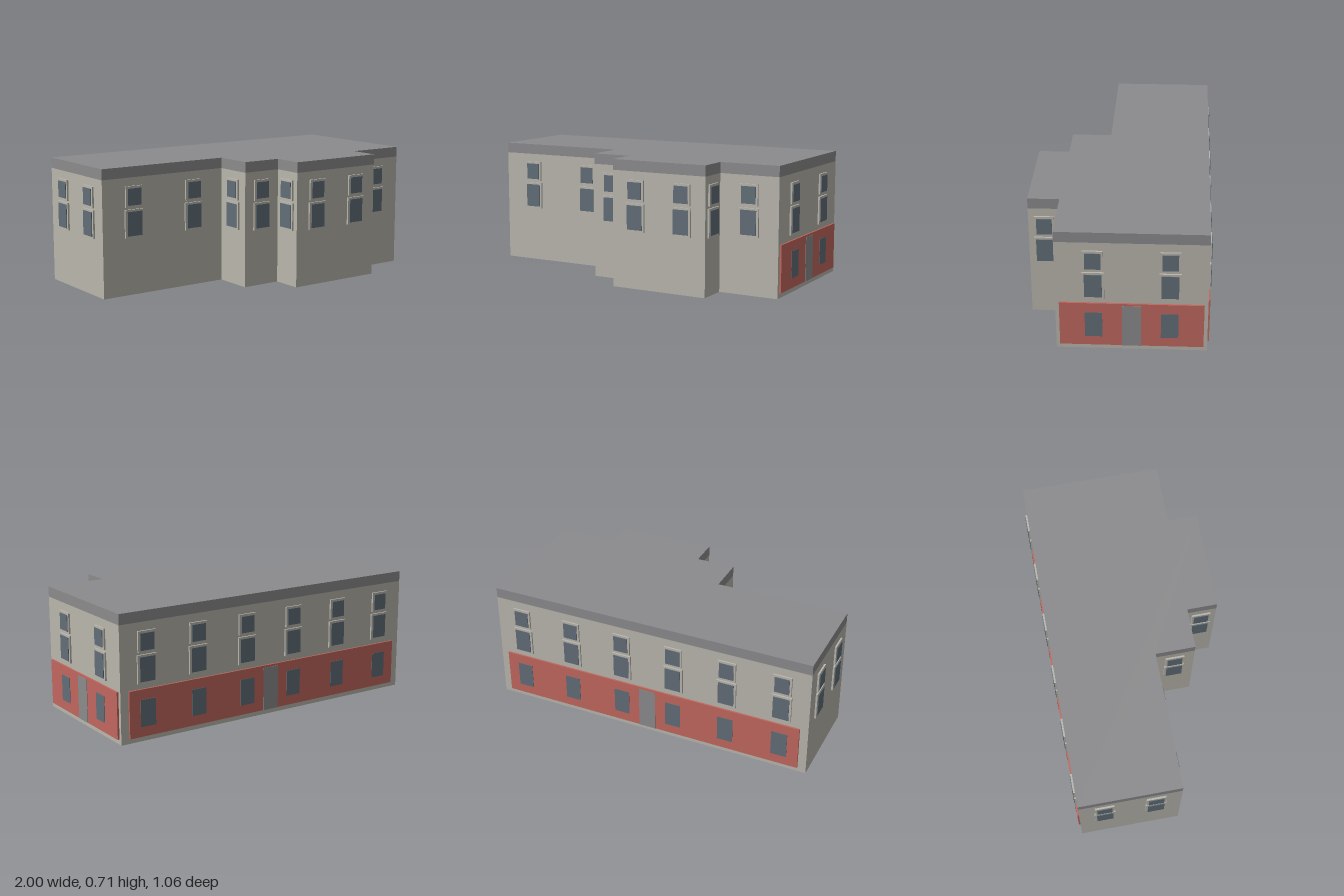
import * as THREE from 'three';

const material = (name, color) => {
  const m = new THREE.MeshStandardMaterial({ color });
  m.name = name;
  return m;
};

export function createModel() {
  const model = new THREE.Group();
  model.name = 'building';
  const stone = material('warm grey stone', 0xb9b6ad);
  const grey = material('roof grey', 0x8b8b8d);
  const red = material('shopfront red', 0xc0675e);
  const glass = material('blue grey glass', 0x626e77);

  // Footprint corners [x, z], counterclockwise from above, starting at the back of the -x end.
  // windows = bays in the wall that starts at this corner; shop = red ground floor front.
  const corners = [
    { x: -0.995, z: -0.34, windows: 2 },
    { x: -0.938, z: 0.23, windows: 2 },
    { x: -0.168, z: 0.153, windows: 1 },
    { x: -0.145, z: 0.378, windows: 1 },
    { x: 0.082, z: 0.355, windows: 1 },
    { x: 0.1, z: 0.526, windows: 2 },
    { x: 0.664, z: 0.47, windows: 1 },
    { x: 0.647, z: 0.3, windows: 1 },
    { x: 0.988, z: 0.266, windows: 2, shop: true },
    { x: 0.908, z: -0.528, windows: 6, shop: true },
  ];

  // Walls and the roof band above them
  const outline = new THREE.Shape(corners.map((c) => new THREE.Vector2(c.x, -c.z)));
  const storey = (name, y0, y1, mat) => {
    const geo = new THREE.ExtrudeGeometry(outline, { depth: y1 - y0, bevelEnabled: false });
    geo.rotateX(-Math.PI / 2);
    const mesh = new THREE.Mesh(geo, mat);
    mesh.position.y = y0;
    mesh.name = name;
    model.add(mesh);
  };
  storey('walls', 0, 0.648, stone);
  storey('roof', 0.648, 0.707, grey);

  // Flat block on a wall: centred at u along it, from y0 to y1, from z0 to z1 outward
  const plate = (wall, name, mat, u, width, y0, y1, z0, z1) => {
    const mesh = new THREE.Mesh(new THREE.BoxGeometry(width, y1 - y0, z1 - z0), mat);
    mesh.position.set(u, (y0 + y1) / 2, (z0 + z1) / 2);
    mesh.name = name;
    wall.add(mesh);
  };

  corners.forEach((a, i) => {
    const b = corners[(i + 1) % corners.length];
    const length = Math.hypot(b.x - a.x, b.z - a.z);
    // Local x runs along the wall, local z points outward
    const wall = new THREE.Group();
    wall.name = 'wallFittings' + (i + 1);
    wall.position.set(a.x, 0, a.z);
    wall.rotation.y = Math.atan2(a.z - b.z, b.x - a.x);
    model.add(wall);

    // Red shopfront with a central door
    if (a.shop) {
      plate(wall, 'shopfront', red, length / 2, length * 0.95, 0.028, 0.288, 0, 0.01);
      plate(wall, 'door', grey, length / 2, 0.1, 0.028, 0.275, 0.008, 0.0125);
    }

    // Evenly spaced bays of two framed windows, with a shop window below
    for (let k = 0; k < a.windows; k++) {
      const u = (length * (k + 0.5)) / a.windows;
      plate(wall, 'upperWindowFrame', stone, u, 0.107, 0.486, 0.602, 0, 0.01);
      plate(wall, 'upperWindowGlass', glass, u, 0.084, 0.497, 0.59, 0.008, 0.014);
      plate(wall, 'lowerWindowFrame', stone, u, 0.116, 0.318, 0.474, 0, 0.01);
      plate(wall, 'lowerWindowGlass', glass, u, 0.092, 0.329, 0.463, 0.008, 0.014);
      if (a.shop) plate(wall, 'shopWindow', glass, u, 0.092, 0.083, 0.232, 0.008, 0.0125);
    }
  });
  return model;
}
